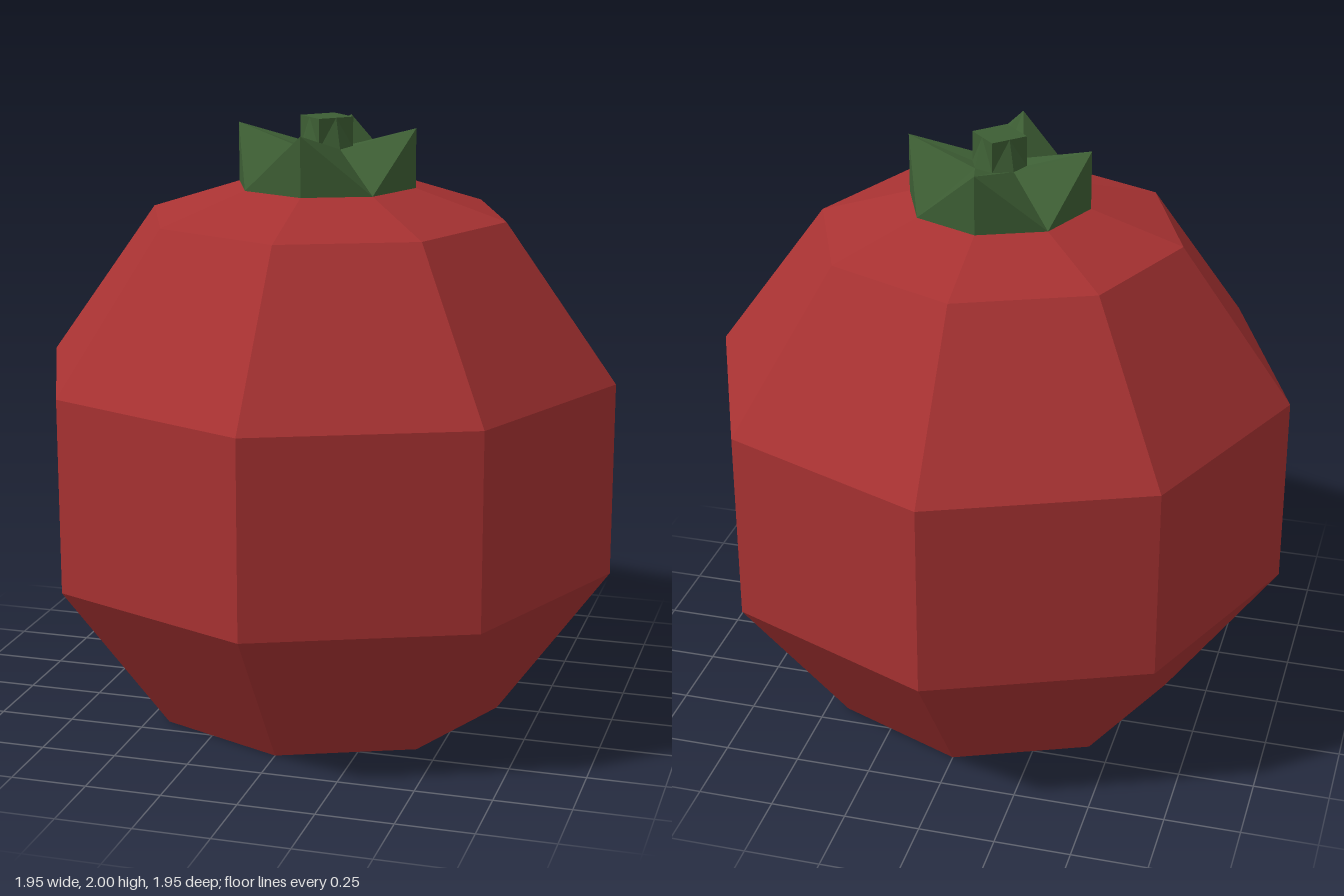
import * as THREE from 'three';

const SIDES = 8;

// One ring of points; even points lie on the x and z axes, odd ones on the diagonals.
function ring(rEven, yEven, rOdd = rEven, yOdd = yEven) {
  return Array.from({ length: SIDES }, (_, i) => {
    const a = (i / SIDES) * Math.PI * 2;
    const r = i % 2 ? rOdd : rEven;
    return new THREE.Vector3(r * Math.sin(a), i % 2 ? yOdd : yEven, r * Math.cos(a));
  });
}

// Joins rings from bottom to top into a faceted skin, with optional flat caps.
function loft(rings, capBottom, capTop) {
  const points = [];
  const tri = (a, b, c) => {
    const area = b.clone().sub(a).cross(c.clone().sub(a)).length();
    if (area > 1e-6) points.push(a, b, c);
  };
  const last = rings[rings.length - 1];
  const bottomCentre = new THREE.Vector3(0, rings[0][0].y, 0);
  const topCentre = new THREE.Vector3(0, last[0].y, 0);
  for (let i = 0; i < SIDES; i++) {
    const j = (i + 1) % SIDES;
    for (let k = 0; k < rings.length - 1; k++) {
      const a = rings[k][i], b = rings[k][j], c = rings[k + 1][j], d = rings[k + 1][i];
      // Mirrored diagonals keep every leaf symmetrical
      if (i % 2 === 0) { tri(a, b, c); tri(a, c, d); }
      else { tri(a, b, d); tri(b, c, d); }
    }
    if (capBottom) tri(bottomCentre, rings[0][j], rings[0][i]);
    if (capTop) tri(topCentre, last[i], last[j]);
  }
  const geometry = new THREE.BufferGeometry().setFromPoints(points);
  geometry.computeVertexNormals(); // unshared corners give flat facets
  return geometry;
}

export function createModel() {
  const model = new THREE.Group();
  model.name = 'roundFruit';

  const red = new THREE.MeshStandardMaterial({ color: 0xa83232 });
  red.name = 'fruit red';
  const green = new THREE.MeshStandardMaterial({ color: 0x3d5e34 });
  green.name = 'leaf green';

  const add = (name, geometry, material) => {
    const mesh = new THREE.Mesh(geometry, material);
    mesh.name = name;
    model.add(mesh);
  };

  // Faceted fruit body
  const profile = [[0.605, 0], [0.977, 0.517], [0.977, 1.162], [0.605, 1.677], [0.302, 1.775]];
  add('fruitBody', loft(profile.map(([r, y]) => ring(r, y)), true, false), red);

  // Crown of four pointed leaves, with valleys on the diagonals
  const neck = ring(0.09, 1.9);
  add('leafCrown', loft([ring(0.302, 1.775), ring(0.302, 1.97, 0.302, 1.775), neck], false, false), green);

  // Stem, eight-sided at the neck and square at the top
  add('stem', loft([neck, ring(0.09, 2, 0.09 * Math.SQRT1_2, 2)], false, true), green);

  return model;
}
